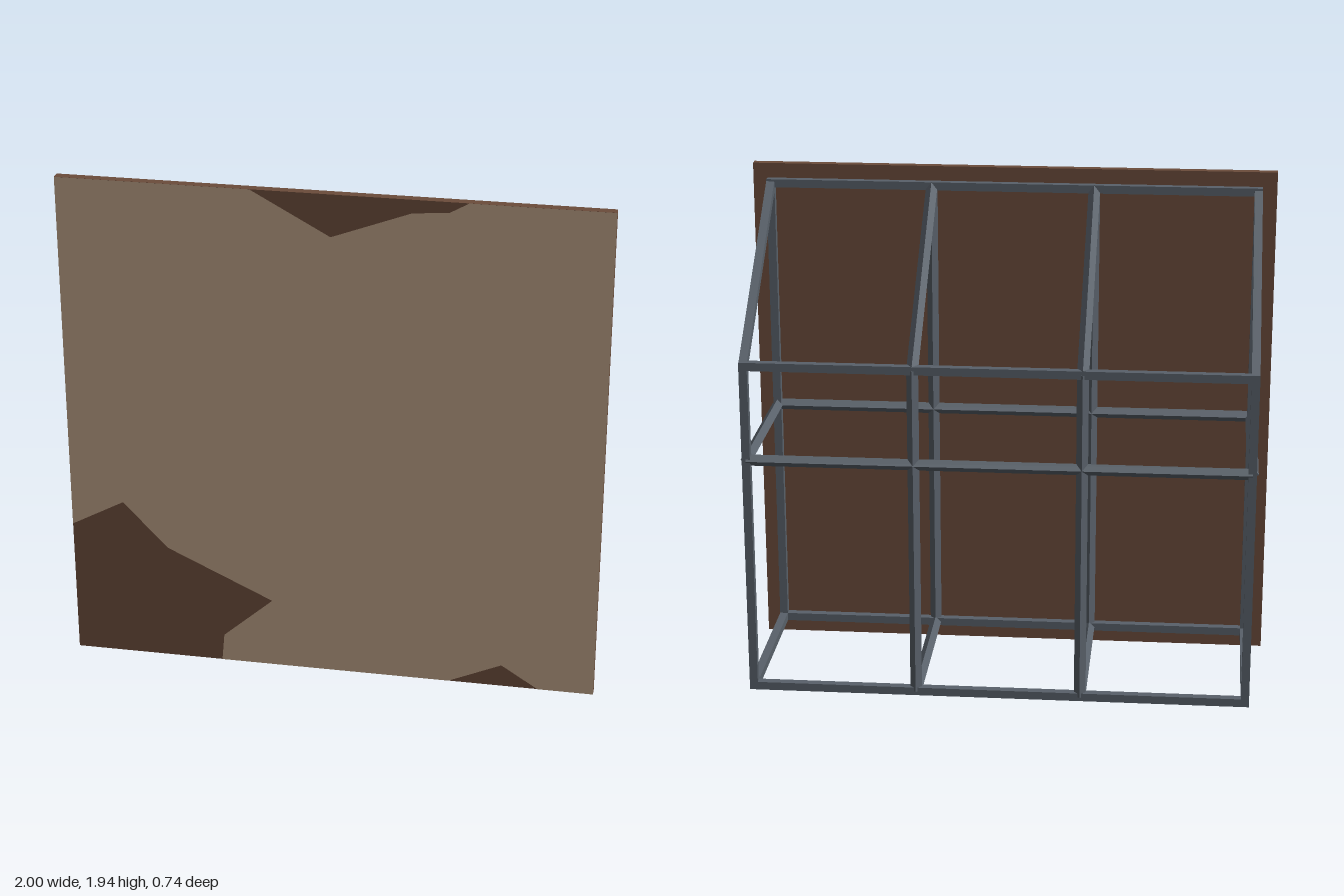
import * as THREE from 'three';

const steel = new THREE.MeshStandardMaterial({ color: 0x59616a });
const brick = new THREE.MeshStandardMaterial({ color: 0x6b4c3b });
const plaster = new THREE.MeshStandardMaterial({ color: 0xb89e84 });

const T = 0.031;                                  // bar thickness
const WALL_Z = 0.32, OUT_Z = -0.35;               // wall and outer frame planes
const BASE = 0.071, MID = 0.976, EAVE = 1.34, RIDGE = 1.868;
const END = 0.93, INNER = 0.31;

// Square bar between two points; diamond bars are turned on their edge
function bar(name, a, b, diamond = false, extend = T / 2) {
  const from = new THREE.Vector3(...a), to = new THREE.Vector3(...b);
  const geo = new THREE.BoxGeometry(T, T, from.distanceTo(to) + 2 * extend);
  if (diamond) geo.rotateZ(Math.PI / 4);
  const mesh = new THREE.Mesh(geo, steel);
  mesh.name = name;
  if (a[0] === b[0] && a[2] === b[2]) mesh.up.set(0, 0, 1);
  mesh.position.copy(from).add(to).multiplyScalar(0.5);
  mesh.lookAt(to);
  return mesh;
}

function createWall() {
  const wall = new THREE.Group();
  wall.name = 'wall';
  const slab = new THREE.Mesh(new THREE.BoxGeometry(2, 1.94, 0.034), brick);
  slab.name = 'wallSlab';
  slab.position.set(0, 0.97, 0.352);
  // Plaster skin with broken-away areas along its border
  const outline = [
    [-0.43, 0], [0.45, 0], [0.65, 0.09], [0.79, 0], [1, 0], [1, 1.94],
    [0.49, 1.94], [0.42, 1.9], [0.29, 1.89], [0, 1.78], [-0.29, 1.94],
    [-1, 1.94], [-1, 0.54], [-0.8, 0.65], [-0.63, 0.47], [-0.23, 0.28], [-0.42, 0.11],
  ].map(([x, y]) => new THREE.Vector2(x, y));
  const skin = new THREE.Mesh(new THREE.ShapeGeometry(new THREE.Shape(outline)), plaster);
  skin.name = 'plasterSkin';
  skin.position.z = 0.37;
  wall.add(slab, skin);
  return wall;
}

function createFrame() {
  const frame = new THREE.Group();
  frame.name = 'leanToFrame';
  // Posts, floor bars and rafters of the four ribs
  for (const x of [-END, -INNER, INNER, END]) {
    const inner = Math.abs(x) < END;
    frame.add(
      bar('wallPost', [x, BASE, WALL_Z], [x, RIDGE, WALL_Z], inner, inner ? 0 : T / 2),
      bar('outerPost', [x, BASE, OUT_Z], [x, EAVE, OUT_Z], inner, inner ? 0 : T / 2),
      bar('floorBar', [x, BASE, WALL_Z], [x, BASE, OUT_Z], inner, inner ? 0 : T / 2),
      bar('rafter', [x, RIDGE, WALL_Z], [x, EAVE, OUT_Z], inner, 0),
    );
    if (!inner) frame.add(bar('sideRail', [x, MID, WALL_Z], [x, MID, OUT_Z], true, 0));
  }
  // Long rails on both sides
  for (const [z, top, name] of [[WALL_Z, RIDGE, 'ridgeRail'], [OUT_Z, EAVE, 'eaveRail']]) {
    frame.add(
      bar('baseRail', [-END, BASE, z], [END, BASE, z]),
      bar('middleRail', [-END, MID, z], [END, MID, z], true, 0),
      bar(name, [-END, top, z], [END, top, z]),
    );
  }
  return frame;
}

export function createModel() {
  const model = new THREE.Group();
  model.name = 'leanToOnWall';
  model.add(createWall(), createFrame());
  return model;
}
